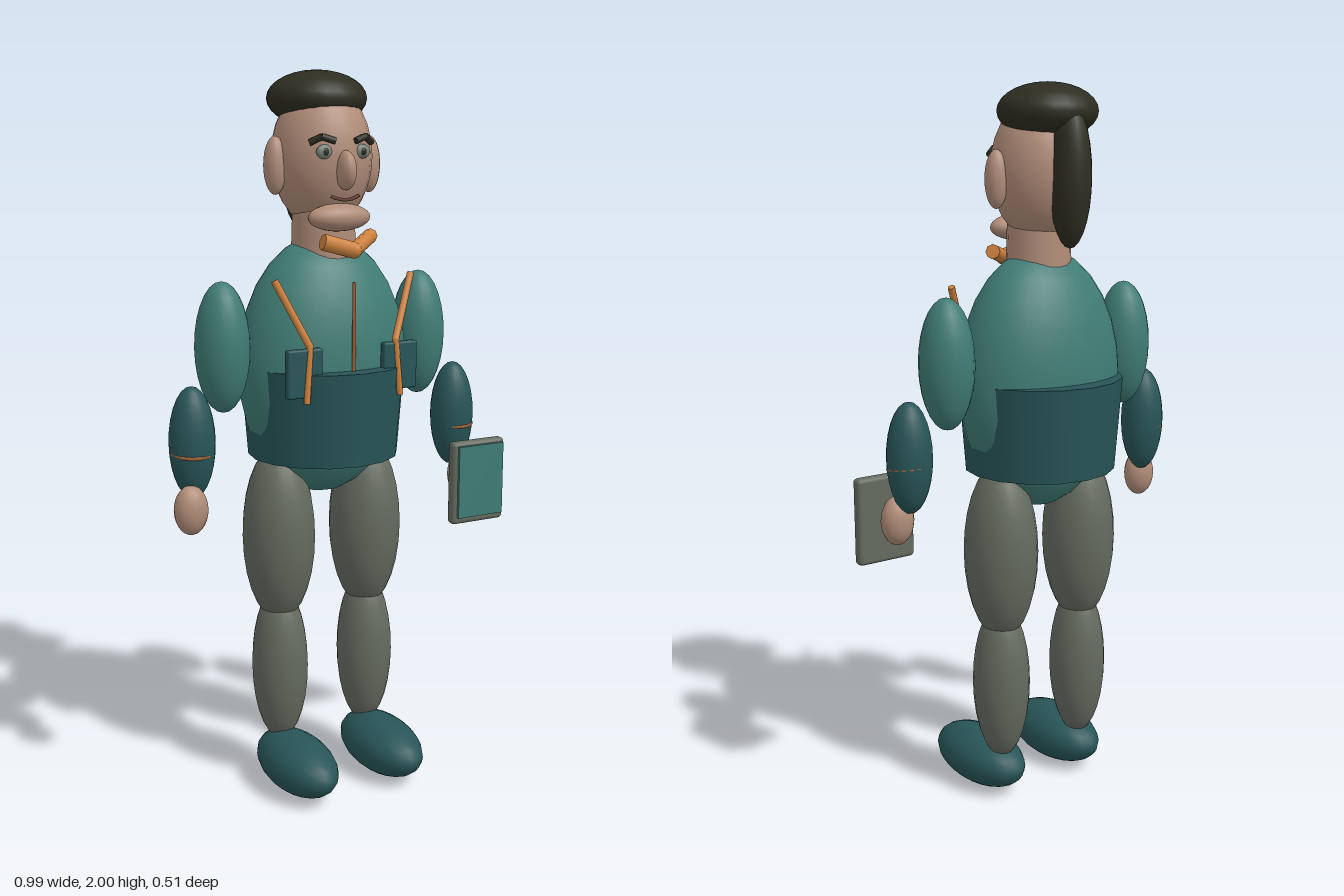
import * as THREE from 'three';
import { RoundedBoxGeometry } from 'three/addons/geometries/RoundedBoxGeometry.js';

const mat = (name, color) => {
  const m = new THREE.MeshStandardMaterial({ color });
  m.name = name;
  return m;
};

export function createModel() {
  const skin = mat('skin', 0xb18d79);
  const hair = mat('hair', 0x2d2d21);
  const teal = mat('teal', 0x407c75);
  const darkTeal = mat('dark teal', 0x285558);
  const grey = mat('grey cloth', 0x656b60);
  const orange = mat('orange', 0xcf833f);
  const iris = mat('iris grey', 0x77827a);
  const brown = mat('mouth brown', 0x6b4238);
  const copper = mat('copper', 0x9c6238);

  const CX = -0.022; // body mid-line
  const model = new THREE.Group();
  model.name = 'standingFigure';

  const add = (name, geometry, material, x, y, z) => {
    const m = new THREE.Mesh(geometry, material);
    m.name = name;
    m.position.set(x, y, z);
    model.add(m);
    return m;
  };
  // Ellipsoid by centre and radii
  const ball = (name, material, [x, y, z], [rx, ry, rz], seg = 20) =>
    add(name, new THREE.SphereGeometry(1, seg, 14).scale(rx, ry, rz), material, x, y, z);
  // Straight rod between two points
  const rod = (name, material, a, b, r) => {
    const p = new THREE.Vector3(...a), q = new THREE.Vector3(...b);
    const d = q.clone().sub(p), mid = p.clone().add(q).multiplyScalar(0.5);
    const m = add(name, new THREE.CylinderGeometry(r, r, d.length(), 8), material, mid.x, mid.y, mid.z);
    m.quaternion.setFromUnitVectors(new THREE.Vector3(0, 1, 0), d.normalize());
    return m;
  };

  // Head
  ball('head', skin, [CX, 1.77, -0.03], [0.138, 0.193, 0.136], 24);
  ball('hairCap', hair, [CX, 1.922, -0.058], [0.137, 0.075, 0.133], 24);
  ball('ponytail', hair, [CX, 1.757, -0.155], [0.055, 0.188, 0.06]);
  ball('nose', skin, [CX, 1.737, 0.107], [0.025, 0.052, 0.04], 14);
  ball('chin', skin, [CX, 1.613, 0.07], [0.092, 0.037, 0.043]);
  add('neck', new THREE.CylinderGeometry(0.085, 0.09, 0.15, 20), skin, CX, 1.57, -0.02);

  // Mouth: shallow smile
  const smile = new THREE.QuadraticBezierCurve3(
    new THREE.Vector3(-0.042, 0.006, -0.004), new THREE.Vector3(0, -0.014, 0.008), new THREE.Vector3(0.042, 0.006, -0.004));
  add('mouth', new THREE.TubeGeometry(smile, 10, 0.005, 6), brown, CX, 1.665, 0.105);

  for (const s of [-1, 1]) {
    const X = (d) => CX + s * d;

    // Face details
    ball('ear', skin, [X(0.143), 1.748, -0.023], [0.031, 0.077, 0.032], 14);
    ball('eye', iris, [X(0.056), 1.785, 0.092], [0.024, 0.019, 0.012], 14);
    ball('pupil', hair, [X(0.056), 1.785, 0.101], [0.009, 0.01, 0.005], 10);
    rod('browOuter', hair, [X(0.093), 1.808, 0.078], [X(0.064), 1.824, 0.096], 0.009);
    rod('browInner', hair, [X(0.066), 1.824, 0.095], [X(0.03), 1.812, 0.105], 0.009);

    // Arms
    ball('upperArm', teal, [X(0.305), 1.273, -0.021], [0.075, 0.177, 0.077]);
    ball('forearm', darkTeal, [X(0.409), 1.03, 0.006], [0.063, 0.152, 0.06]);
    const cuff = add('cuffRing', new THREE.TorusGeometry(0.055, 0.006, 6, 16), copper, X(0.411), 1.005, 0.007);
    cuff.rotation.x = Math.PI / 2 + 0.12;
    ball('hand', skin, [X(0.43), 0.855, 0.039], [0.047, 0.068, 0.04], 16);

    // Legs
    ball('thigh', grey, [X(0.138), 0.73, -0.03], [0.101, 0.255, 0.109]);
    ball('shin', grey, [X(0.138), 0.345, -0.029], [0.079, 0.23, 0.085]);
    ball('shoe', darkTeal, [X(0.138), 0.081, 0.076], [0.094, 0.079, 0.179]);

    // Pockets and straps
    add('pocket', new RoundedBoxGeometry(0.104, 0.13, 0.024, 2, 0.006), darkTeal, X(0.145), 1.215, 0.143);
    rod('upperStrap', orange, [X(0.207), 1.458, 0.098], [X(0.13), 1.285, 0.15], 0.01);
    rod('lowerStrap', orange, [X(0.13), 1.29, 0.15], [X(0.143), 1.135, 0.156], 0.009);
  }

  // Torso and wrap belt
  ball('torso', teal, [CX, 1.203, -0.025], [0.247, 0.36, 0.174], 28);
  const belt = new THREE.CylinderGeometry(0.23, 0.21, 0.257, 16);
  add('belt', belt, darkTeal, CX, 1.082, -0.025);
  rod('frontSeam', copper, [CX, 1.448, 0.153], [CX, 1.2, 0.153], 0.005);

  // Neckerchief, slightly turned
  const knot = [0.0, 1.528, 0.112];
  rod('scarfRight', orange, [-0.09, 1.553, 0.105], knot, 0.022);
  rod('scarfLeft', orange, knot, [0.108, 1.556, 0.012], 0.02);
  ball('scarfKnot', orange, knot, [0.022, 0.022, 0.022], 12);

  // Hand-held tablet
  add('tabletBody', new RoundedBoxGeometry(0.174, 0.242, 0.034, 3, 0.012), grey, 0.408, 0.847, 0.108);
  add('tabletScreen', new THREE.BoxGeometry(0.15, 0.21, 0.008), teal, 0.409, 0.852, 0.131);

  return model;
}
